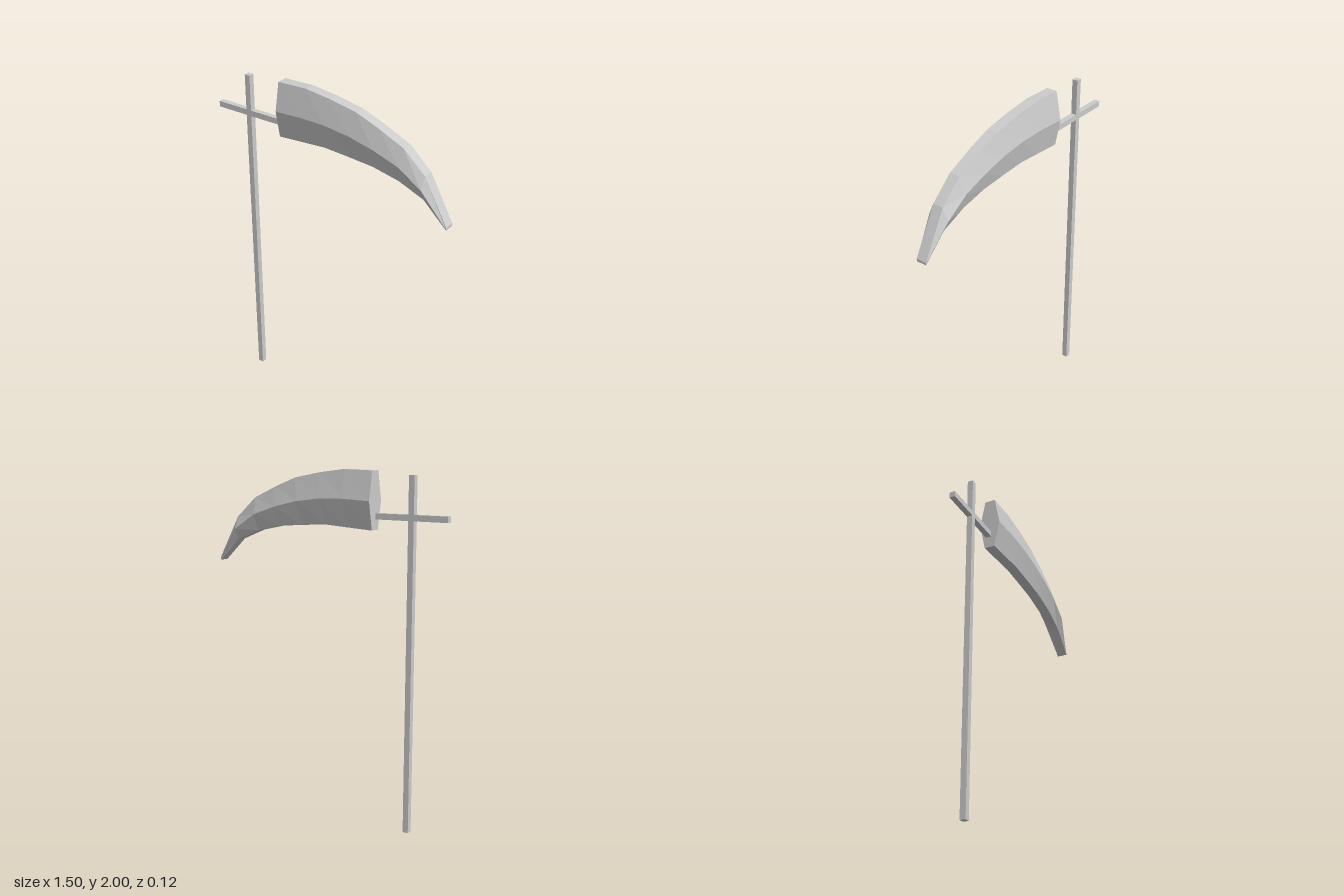
import * as THREE from 'three';

const material = new THREE.MeshStandardMaterial({ color: 0xcccccc, flatShading: true });

function bar(name, w, h, d, x, y) {
  const mesh = new THREE.Mesh(new THREE.BoxGeometry(w, h, d), material);
  mesh.name = name;
  mesh.position.set(x, y, 0);
  return mesh;
}

// Blade stations: [top x, top y, ridge x, ridge y, bottom x, bottom y, ridge half width]
const STATIONS = [
  [-0.31, 1.995, -0.31, 1.835, -0.31, 1.678, 0.062],
  [-0.13, 2.0, -0.14, 1.843, -0.15, 1.688, 0.062],
  [0.03, 1.98, 0.01, 1.84, -0.01, 1.697, 0.062],
  [0.19, 1.95, 0.17, 1.82, 0.15, 1.687, 0.062],
  [0.33, 1.897, 0.32, 1.785, 0.3, 1.675, 0.062],
  [0.48, 1.83, 0.47, 1.735, 0.46, 1.642, 0.062],
  [0.61, 1.715, 0.61, 1.645, 0.61, 1.582, 0.062],
  [0.75, 1.465, 0.75, 1.457, 0.75, 1.45, 0.031],
];
const EDGE = 0.031; // half width of the flat top and bottom edges

// Hexagonal cross-sections lofted along the curve, closed at both ends
function bladeGeometry() {
  const positions = [];
  const index = [];
  for (const [tx, ty, mx, my, bx, by, w] of STATIONS) {
    positions.push(
      tx, ty, EDGE, mx, my, w, bx, by, EDGE,
      bx, by, -EDGE, mx, my, -w, tx, ty, -EDGE,
    );
  }
  const last = (STATIONS.length - 1) * 6;
  for (let s = 0; s < last; s += 6) {
    for (let k = 0; k < 6; k++) {
      const n = (k + 1) % 6;
      index.push(s + k, s + n, s + 6 + n, s + k, s + 6 + n, s + 6 + k);
    }
  }
  for (let k = 1; k < 5; k++) {
    index.push(0, k + 1, k, last, last + k, last + k + 1);
  }
  const indexed = new THREE.BufferGeometry();
  indexed.setAttribute('position', new THREE.Float32BufferAttribute(positions, 3));
  indexed.setIndex(index);
  const geometry = indexed.toNonIndexed();
  geometry.computeVertexNormals();
  return geometry;
}

export function createModel() {
  const group = new THREE.Group();
  group.name = 'scythe';

  // Long pole and the short bar crossing it
  group.add(bar('pole', 0.033, 1.975, 0.033, -0.54, 0.9875));
  group.add(bar('crossbar', 0.432, 0.033, 0.033, -0.539, 1.754));

  // Curved blade
  const blade = new THREE.Mesh(bladeGeometry(), material);
  blade.name = 'blade';
  group.add(blade);

  return group;
}
